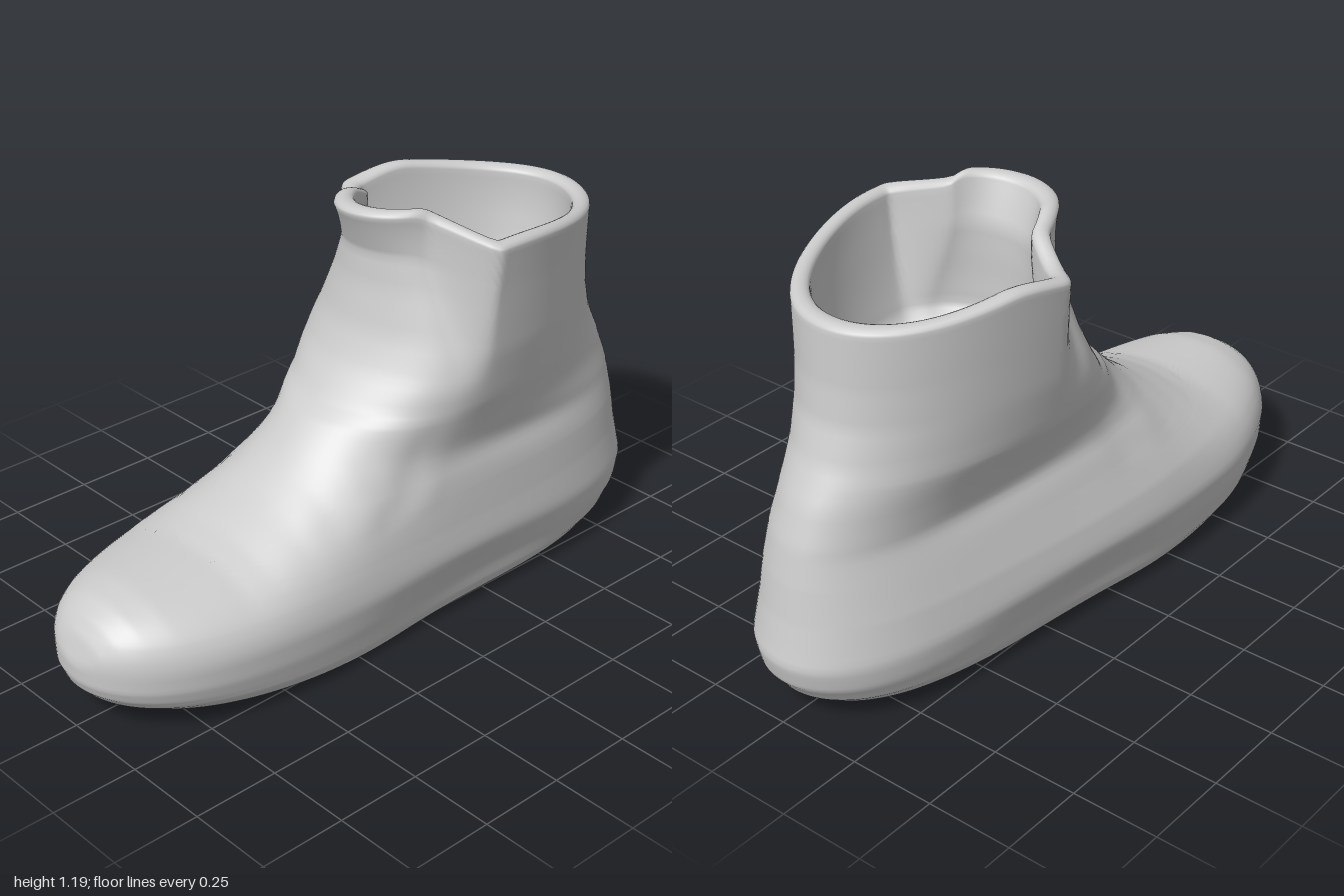
import * as THREE from 'three';

const { lerp, smoothstep: smooth, clamp } = THREE.MathUtils;

// Linear lookup in a list of [key, value] pairs, keys rising
function look(table, k) {
  if (k <= table[0][0]) return table[0][1];
  for (let i = 1; i < table.length; i++) {
    const [k0, v0] = table[i - 1], [k1, v1] = table[i];
    if (k <= k1) return lerp(v0, v1, (k - k0) / (k1 - k0));
  }
  return table[table.length - 1][1];
}
const bump = (v, centre, width) => Math.exp(-(((v - centre) / width) ** 2));

// Side profile: height -> z of the front edge (toe, instep, tongue) and of the heel
const FRONT = [[0, 0.91], [0.03, 0.96], [0.07, 0.985], [0.13, 0.998], [0.2, 1], [0.27, 0.975], [0.31, 0.943],
  [0.34, 0.895], [0.358, 0.82], [0.366, 0.7], [0.374, 0.6], [0.4, 0.52], [0.46, 0.4], [0.53, 0.3], [0.62, 0.21],
  [0.66, 0.15], [0.74, 0.08], [0.82, 0.03], [0.9, 0], [0.96, -0.01], [1.0, 0.01], [1.05, 0.035]];
const BACK = [[0, -0.9], [0.04, -0.95], [0.1, -0.985], [0.18, -1], [0.22, -0.99], [0.3, -0.972], [0.4, -0.955],
  [0.5, -0.933], [0.6, -0.895], [0.7, -0.84], [0.8, -0.805], [0.9, -0.792], [1.05, -0.785]];
// Height of the instep line at a given z
const TOP = [[-0.3, 1.6], ...FRONT.slice(4, 19).map(([y, z]) => [z, y]).reverse()];

// Width of the foot part and of the shaft by height, on each side
const FOOT_LEFT = [[0, 0.91], [0.04, 0.97], [0.12, 1.01], [0.2, 1.02], [0.3, 0.98], [0.4, 0.95], [0.48, 0.92]];
const FOOT_RIGHT = [[0, 0.9], [0.04, 0.96], [0.12, 1], [0.2, 1.01], [0.3, 0.94], [0.4, 0.83], [0.48, 0.75]];
const SHAFT_LEFT = [[0.45, 0.29], [0.55, 0.3], [0.65, 0.318], [0.8, 0.342], [0.95, 0.355], [1.05, 0.366]];
const SHAFT_RIGHT = [[0.45, 0.25], [0.55, 0.275], [0.65, 0.3], [0.8, 0.322], [0.95, 0.335], [1.05, 0.343]];

function footWidth(y, z, left) {
  const zEnd = z > 0 ? (y < 0.2 ? look(FRONT, y) : 1) : -look(BACK, y);
  const s = clamp(Math.abs(z) / zEnd, 0, 1);
  const plan = Math.sqrt(1 - s ** 4);
  const side = left ? 0.32 : 0.3 + 0.072 * smooth(z, -0.7, 0.2) - 0.03 * smooth(z, 0.5, 0.9);
  // The section closes in a round arch between mid height and the instep line
  const rise = y > 0.2 ? clamp((y - 0.2) / (look(TOP, z) - 0.2 + 1e-6), 0, 1) : 0;
  const dome = Math.sqrt(1 - rise ** 2.5);
  const arch = 1 - 0.12 * bump(z, -0.15, 0.35) * (1 - smooth(y, 0.08, 0.24));
  return side * plan * dome * look(left ? FOOT_LEFT : FOOT_RIGHT, y) * arch;
}

function shaftWidth(y, z, zf, zb, left) {
  const side = look(left ? SHAFT_LEFT : SHAFT_RIGHT, y), zm = -0.22;
  const back = clamp((zm - z) / (zm - zb), 0, 1), front = clamp((z - zm) / (zf - zm), 0, 1);
  const backWidth = side * Math.sqrt(1 - back ** 1.95);
  const round = backWidth * (1 - front ** 2.5) ** 0.55;
  // Towards the top, lapels stand out at the sides and the tongue narrows between them
  const tongue = (left ? 0.2 : 0.185) * Math.sqrt(1 - front ** 2.3);
  const edge = left ? smooth(z, -0.17, -0.08) : smooth(z, -0.26, -0.12);
  return lerp(round, lerp(backWidth, tongue, edge), smooth(y, 0.7, 1.03));
}

// One ring of the skin at level y, pulled towards a centre [x, z] by the given scale
const N = 160;
function ring(y, scale = 1, lift = 0, [cx, cz] = [0, 0]) {
  const zf = look(FRONT, y), zb = look(BACK, y), points = [];
  for (let j = 0; j < N; j++) {
    const a = (j / N) * Math.PI * 2;
    const z = (zf + zb) / 2 + ((zf - zb) / 2) * Math.cos(a);
    const left = Math.sin(a) >= 0;
    let w = 0;
    if (j % (N / 2)) {
      w = lerp(footWidth(y, z, left), shaftWidth(y, z, zf, zb, left), smooth(y, 0.44, 0.68));
      // Soft creases around the ankle and across the instep
      w *= 1 - 0.035 * bump(y, 0.52 + 0.08 * z, 0.045) * bump(z, -0.35, 0.4);
      w *= 1 + 0.015 * Math.sin(z * 28 + y * 20) * smooth(z, -0.1, 0.1) * smooth(y, 0.36, 0.45);
    }
    const x = left ? w : -w;
    const px = cx + (x - cx) * scale, pz = cz + (z - cz) * scale;
    // Toe spring and heel lift of the sole
    const spring = (0.065 * smooth(pz, 0.1, 1.1) + 0.035 * smooth(-pz, 0.1, 0.8)) * (1 - smooth(y, 0, 0.2));
    // Rim rises to the front, highest at the tongue, with a lower right lapel
    const rim = (0.06 * smooth(z, -0.8, -0.2) + (0.05 + 0.08 * x) * smooth(z, -0.17, -0.04)
      - 0.045 * smooth(-x, 0.17, 0.3) * smooth(z, -0.45, -0.2)) * smooth(y, 0.75, 1.05);
    points.push(px, y + lift + spring + rim, pz);
  }
  return points;
}

function skin(rings) {
  const index = [];
  for (let i = 0; i < rings.length - 1; i++) {
    for (let j = 0; j < N; j++) {
      const k = (j + 1) % N, a = i * N, b = a + N;
      index.push(a + j, a + k, b + j, a + k, b + k, b + j);
    }
  }
  const geometry = new THREE.BufferGeometry();
  geometry.setAttribute('position', new THREE.Float32BufferAttribute(rings.flat(), 3));
  geometry.setIndex(index);
  geometry.computeVertexNormals();
  return geometry;
}

export function createModel() {
  const group = new THREE.Group();
  group.name = 'ankleBoot';
  const material = new THREE.MeshStandardMaterial({ color: 0xcccccc, side: THREE.DoubleSide });
  const add = (name, rings) => {
    const mesh = new THREE.Mesh(skin(rings), material);
    mesh.name = name;
    group.add(mesh);
  };

  // Sole underside, from the middle outwards
  add('sole', [0.001, 0.2, 0.4, 0.6, 0.75, 0.88, 0.95, 1].map((s) => ring(0, s, 0.008 * s ** 4)));

  // Upper: sole edge, toe cap, instep and shaft up to the rim
  const upper = [ring(0, 1, 0.008)];
  for (let i = 1; i < FRONT.length; i++) {
    for (let k = 1; k <= 4; k++) upper.push(ring(lerp(FRONT[i - 1][0], FRONT[i][0], k / 4)));
  }
  // Rolled rim, then the tapering lining down to a rounded floor
  const mid = [0.03, -0.38];
  for (let k = 1; k <= 8; k++) {
    const a = (k / 8) * Math.PI;
    upper.push(ring(1.05, 1 - 0.075 * (1 - Math.cos(a)), 0.018 * Math.sin(a), mid));
  }
  for (let k = 1; k <= 14; k++) {
    const t = k / 14;
    upper.push(ring(lerp(1.05, 0.8, t), 0.85 - 0.12 * t * t, 0, mid));
  }
  for (let k = 1; k <= 8; k++) {
    const a = (k / 8) * Math.PI / 2;
    upper.push(ring(0.8, Math.max(0.001, 0.73 * Math.cos(a)), -0.09 * Math.sin(a), mid));
  }
  add('upperAndLining', upper);
  return group;
}
